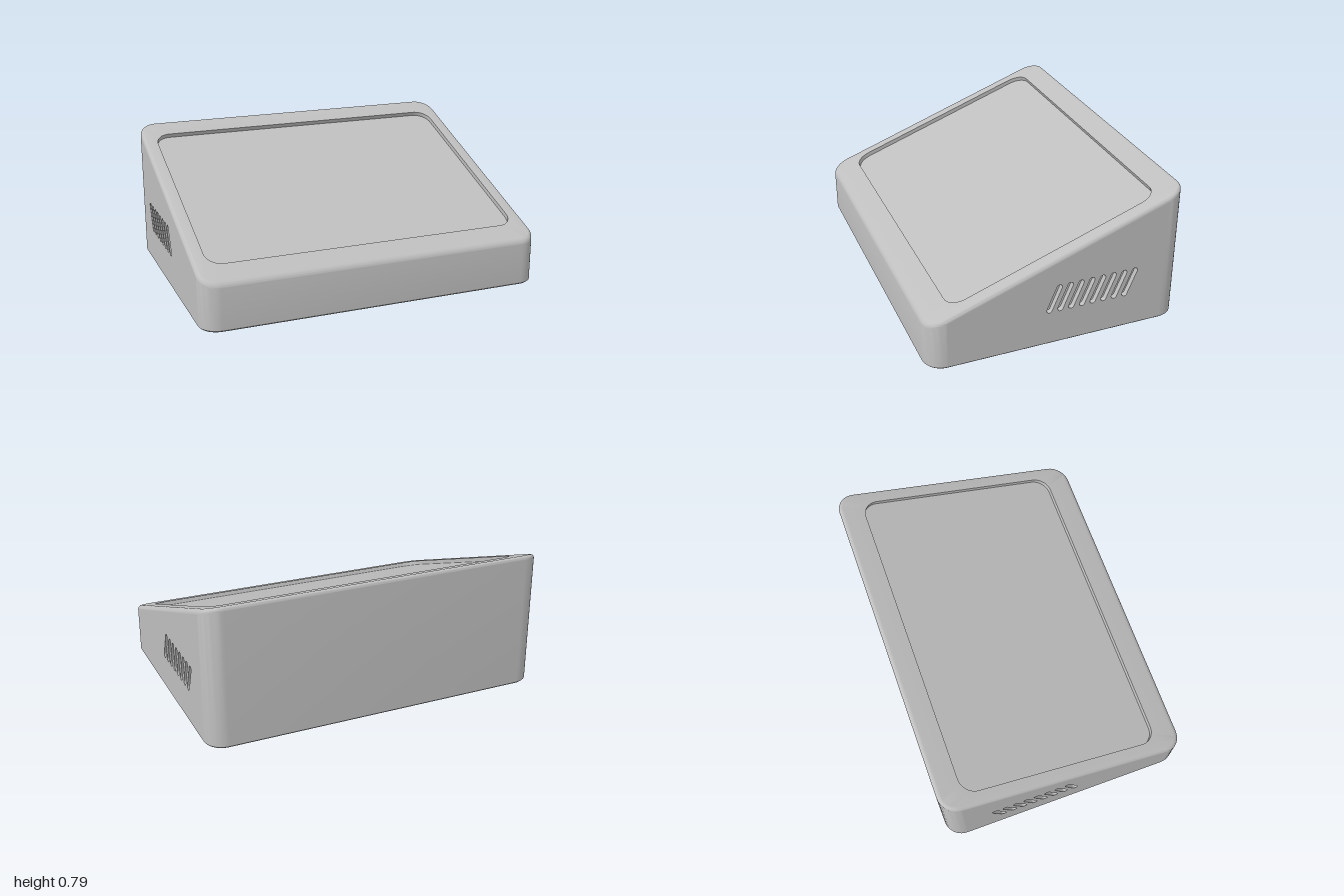
import * as THREE from 'three';
import { toCreasedNormals } from 'three/addons/utils/BufferGeometryUtils.js';

const HX = 1, HZ = 0.735, CORNER = 0.107;     // footprint half sizes and corner radius
const FILLET = 0.025, CHAMFER = 0.008;
const TILT = THREE.MathUtils.degToRad(20);
const N = 10;                                 // segments per corner
const topY = (z) => 0.535 - Math.tan(TILT) * z;

const material = new THREE.MeshStandardMaterial({ color: 0xbfbfbf });
material.name = 'lightGrey';

// Rounded rectangle as a loop of points, clockwise from above; y comes from a rule
function ring(hx, hz, r, yRule, cz = 0) {
  const pts = [];
  const signs = [[1, 1], [-1, 1], [-1, -1], [1, -1]];
  signs.forEach(([sx, sz], c) => {
    for (let i = 0; i <= N; i++) {
      const a = (c + i / N) * Math.PI / 2;
      const z = cz + sz * (hz - r) + r * Math.sin(a);
      pts.push(new THREE.Vector3(sx * (hx - r) + r * Math.cos(a), yRule(z), z));
    }
  });
  return pts;
}

// Join loops of equal length into a surface; a trailing single point closes it as a fan
function loft(rings, skip = () => false) {
  const pos = [];
  const put = (...vs) => vs.forEach((v) => pos.push(v.x, v.y, v.z));
  for (let i = 0; i < rings.length - 1; i++) {
    const A = rings[i], B = rings[i + 1];
    A.forEach((a, j) => {
      if (skip(i, j)) return;
      const k = (j + 1) % A.length;
      if (B.length === 1) put(a, B[0], A[k]);
      else put(a, B[j], B[k], a, B[k], A[k]);
    });
  }
  const g = new THREE.BufferGeometry();
  g.setAttribute('position', new THREE.Float32BufferAttribute(pos, 3));
  return toCreasedNormals(g, 0.5);
}

function add(parent, name, geometry) {
  const mesh = new THREE.Mesh(geometry, material);
  mesh.name = name;
  parent.add(mesh);
  return mesh;
}

const center = (pts) => pts.reduce((s, p) => s.add(p), new THREE.Vector3()).divideScalar(pts.length);

// Blind pocket sunk from a loop by an offset
function pocket(loop, offset) {
  const floor = loop.map((p) => p.clone().add(offset));
  return loft([loop, floor, [center(floor)]]);
}

// Vent slot outline in wall coordinates, clockwise
function slotOutline(p, q, r) {
  const axis = Math.atan2(q.y - p.y, q.x - p.x);
  const pts = [];
  [[q, axis + Math.PI / 2], [p, axis - Math.PI / 2]].forEach(([c, start]) => {
    for (let i = 0; i <= 8; i++) {
      const a = start - i / 8 * Math.PI;
      pts.push(new THREE.Vector2(c.x + r * Math.cos(a), c.y + r * Math.sin(a)));
    }
  });
  return pts;
}

// Flat side wall with a row of slanted vents; s = +1 or -1
function sideWall(s) {
  const group = new THREE.Group();
  group.name = s > 0 ? 'leftSide' : 'rightSide';
  const e = HZ - CORNER;
  const drop = FILLET / Math.cos(TILT);
  const uv = (z, y) => new THREE.Vector2(-s * z, y);
  const wall = new THREE.Shape([
    uv(e, CHAMFER), uv(-e, CHAMFER), uv(-e, topY(-e) - drop), uv(e, topY(e) - drop),
  ]);
  for (let i = 0; i < 8; i++) {
    const z = 0.053 - i * 0.0637;
    const outline = slotOutline(uv(z, 0.217), uv(z - 0.055, 0.352), 0.016);
    wall.holes.push(new THREE.Path(outline));
    const loop = outline.map((p) => new THREE.Vector3(s * HX, p.y, -s * p.x));
    add(group, 'ventSlot', pocket(loop, new THREE.Vector3(-s * 0.03, 0, 0)));
  }
  const g = new THREE.ShapeGeometry(wall);
  g.rotateY(s * Math.PI / 2).translate(s * HX, 0, 0);
  add(group, 'sideWall', g);
  return group;
}

// Underside with four screw holes
function underside() {
  const group = new THREE.Group();
  group.name = 'underside';
  const edge = ring(HX - CHAMFER, HZ - CHAMFER, CORNER - CHAMFER, () => 0);
  const shape = new THREE.Shape(edge.map((p) => new THREE.Vector2(p.x, p.z)));
  for (const x of [-0.75, 0.75]) for (const z of [-0.515, 0.515]) {
    const loop = [];
    for (let i = 0; i < 16; i++) {
      const a = -i / 16 * Math.PI * 2;
      loop.push(new THREE.Vector3(x + 0.012 * Math.cos(a), 0, z + 0.012 * Math.sin(a)));
    }
    shape.holes.push(new THREE.Path(loop.map((p) => new THREE.Vector2(p.x, p.z))));
    add(group, 'screwHole', pocket(loop, new THREE.Vector3(0, 0.02, 0)));
  }
  add(group, 'basePlate', new THREE.ShapeGeometry(shape).rotateX(Math.PI / 2));
  return group;
}

export function createModel() {
  const model = new THREE.Group();
  model.name = 'slopedEnclosure';

  // Shell: bottom chamfer, walls, rounded top edge, bezel, recess wall
  const rings = [
    ring(HX - CHAMFER, HZ - CHAMFER, CORNER - CHAMFER, () => 0),
    ring(HX, HZ, CORNER, () => CHAMFER),
  ];
  const drop = FILLET / Math.cos(TILT);
  for (let i = 0; i <= 8; i++) {
    const t = i / 8 * Math.PI / 2;
    const inset = FILLET * (1 - Math.cos(t));
    rings.push(ring(HX - inset, HZ - inset, CORNER - inset,
      (z) => topY(z) - drop * (1 - Math.sin(t))));
  }
  const opening = ring(0.922, 0.59, 0.09, topY, -0.005);
  const sink = new THREE.Vector3(0, -Math.cos(TILT), -Math.sin(TILT)).multiplyScalar(0.025);
  const floor = opening.map((p) => p.clone().add(sink));
  rings.push(opening, floor);

  // The two flat side walls are left open here for the vented panels
  const sides = [2 * (N + 1) - 1, 4 * (N + 1) - 1];
  add(model, 'shell', loft(rings, (i, j) => i === 1 && sides.includes(j)));

  // Sunken display panel
  add(model, 'displayPanel', loft([floor, [center(floor)]]));

  model.add(sideWall(1), sideWall(-1), underside());
  return model;
}
